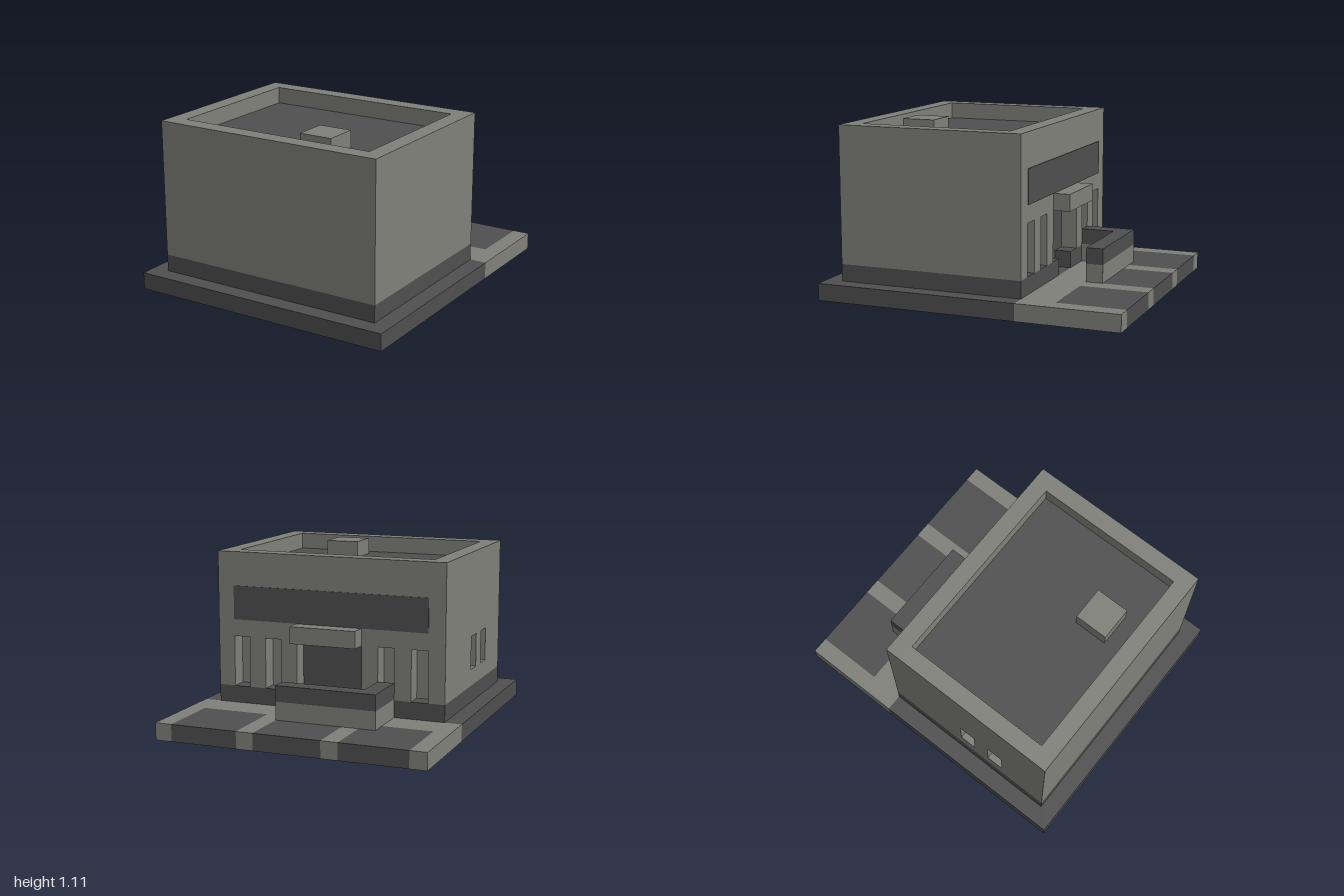
import * as THREE from 'three';

export function createModel() {
  const U = 1 / 9; // one building block
  const root = new THREE.Group();
  root.name = 'building';
  const grey = new THREE.MeshStandardMaterial({ color: 0x80807a });
  grey.name = 'concrete grey';
  const dark = new THREE.MeshStandardMaterial({ color: 0x4f4f4f });
  dark.name = 'dark grey';

  const group = (name) => {
    const g = new THREE.Group();
    g.name = name;
    root.add(g);
    return g;
  };
  // Box between block coordinates: x range, y range, z range
  const box = (parent, name, mat, [x0, x1], [y0, y1], [z0, z1]) => {
    const geo = new THREE.BoxGeometry((x1 - x0) * U, (y1 - y0) * U, (z1 - z0) * U);
    const mesh = new THREE.Mesh(geo, mat);
    mesh.position.set((x0 + x1) / 2 * U, (y0 + y1) / 2 * U, (z0 + z1) / 2 * U);
    mesh.name = name;
    parent.add(mesh);
  };

  // Ground slab: dark plot, grey pavement with three dark parking bays
  const ground = group('ground');
  box(ground, 'plot', dark, [-8, 8], [0, 1], [-3, 9]);
  box(ground, 'pavement', grey, [-8, 8], [0, 1], [-5, -3]);
  for (const x of [[-8, -7], [-3, -2], [2, 3], [7, 8]]) box(ground, 'pavementStrip', grey, x, [0, 1], [-9, -5]);
  for (const x of [[-7, -3], [-2, 2], [3, 7]]) box(ground, 'parkingBay', dark, x, [0, 1], [-9, -5]);

  // Dark plinth, open at the doorway
  const plinth = group('plinth');
  box(plinth, 'plinthCore', dark, [-7, 7], [1, 2], [-2, 8]);
  for (const x of [[-7, -1], [1, 7]]) box(plinth, 'plinthFacade', dark, x, [1, 2], [-3, -2]);

  // Solid core with the roof on top
  const walls = group('walls');
  box(walls, 'core', grey, [-6, 7], [2, 9], [-2, 8]);
  box(walls, 'roofSurface', dark, [-6, 6], [9, 9.03], [-2, 7]);
  box(walls, 'frontParapet', grey, [-6, 7], [9, 10], [7, 8]);
  box(walls, 'sideParapet', grey, [6, 7], [9, 10], [-2, 7]);
  box(walls, 'roofVent', grey, [1, 3], [9, 10], [4, 6]);

  // Facade: piers between window recesses and the door, header above
  for (const x of [[-7, -6], [-5, -4], [-3, -2], [2, 3], [4, 5], [6, 7]])
    box(walls, 'facadePier', grey, x, [2, 5], [-3, -2]);
  box(walls, 'facadeHeader', grey, [-7, 7], [5, 10], [-3, -2]);

  // Side wall with two small window recesses
  box(walls, 'sideWallBase', grey, [-7, -6], [2, 3], [-2, 8]);
  for (const z of [[-2, 2], [3, 4], [5, 8]]) box(walls, 'sideWallPier', grey, [-7, -6], [3, 5], z);
  box(walls, 'sideWallTop', grey, [-7, -6], [5, 10], [-2, 8]);

  // Entrance: door, sign panel and canopy
  const entrance = group('entrance');
  box(entrance, 'door', dark, [-2, 2], [2, 5], [-2.04, -2]);
  box(entrance, 'signPanel', dark, [-6, 6], [6, 8], [-3.04, -3]);
  box(entrance, 'canopy', grey, [-2, 2], [5, 6], [-4, -3]);

  // L-shaped entrance wall, grey with a dark top
  const screen = group('entranceWall');
  for (const [mat, y, name] of [[grey, [1, 2.07], 'wallBase'], [dark, [2.07, 3], 'wallCap']]) {
    box(screen, name + 'Long', mat, [-4, 2], y, [-6, -5]);
    box(screen, name + 'Short', mat, [-4, -3], y, [-5, -3]);
  }
  return root;
}
